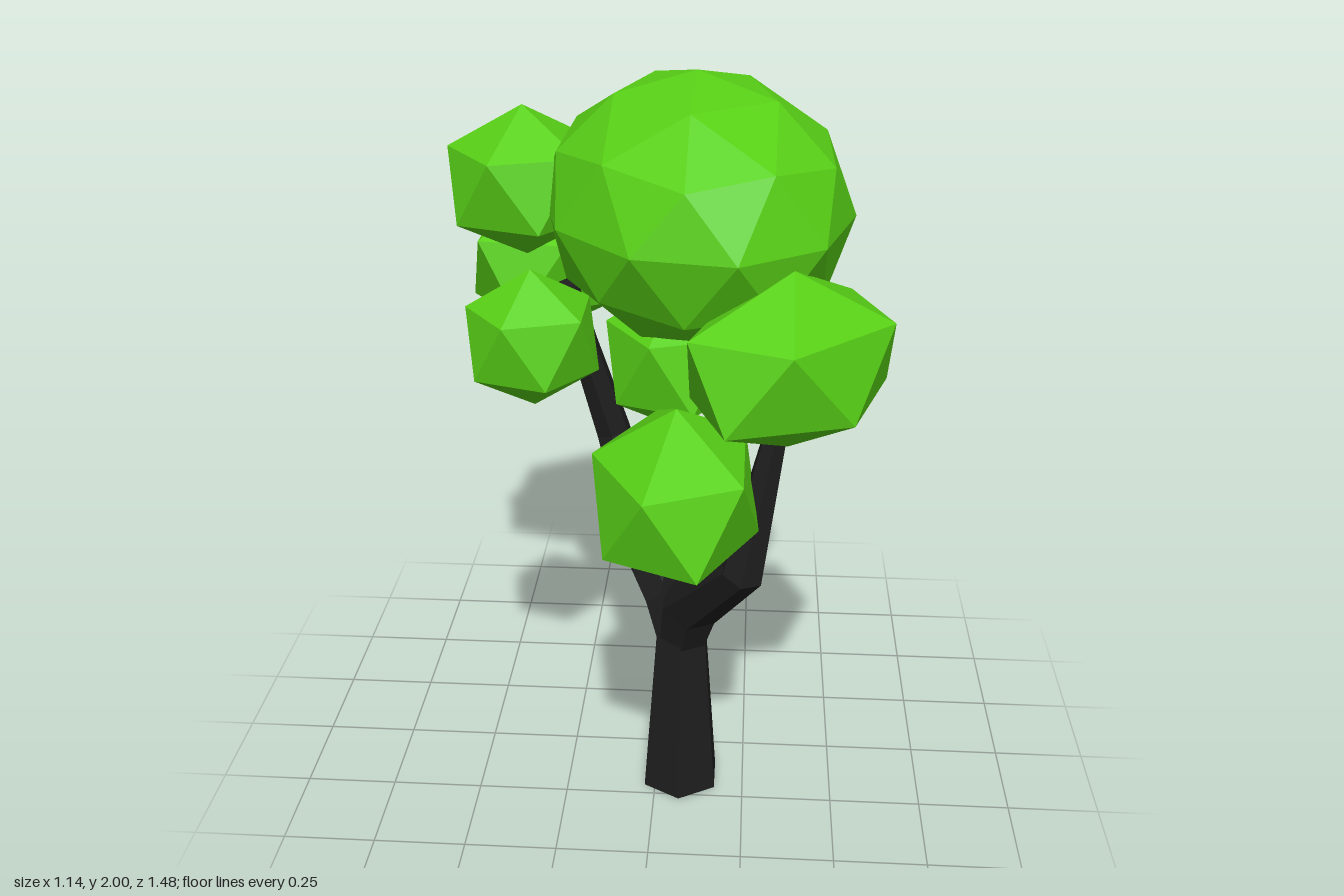
import * as THREE from 'three';

const SIDES = 6;
const bark = new THREE.MeshStandardMaterial({ color: 0x1e1e1e, flatShading: true });
const leaf = new THREE.MeshStandardMaterial({ color: 0x58d016, flatShading: true });

// Six-sided tapering limb through points [x, y, z, radius], capped at both ends.
function limb(name, path) {
  const points = path.map(([x, y, z]) => new THREE.Vector3(x, y, z));
  const up = new THREE.Vector3(0, 1, 0);
  const positions = [];
  const index = [];
  points.forEach((p, i) => {
    const before = points[Math.max(i - 1, 0)];
    const after = points[Math.min(i + 1, points.length - 1)];
    const tangent = new THREE.Vector3();
    if (i > 0) tangent.add(p.clone().sub(before).normalize());
    if (i < points.length - 1) tangent.add(after.clone().sub(p).normalize());
    const turn = new THREE.Quaternion().setFromUnitVectors(up, tangent.normalize());
    for (let s = 0; s < SIDES; s++) {
      const a = (s / SIDES) * Math.PI * 2;
      const v = new THREE.Vector3(Math.sin(a), 0, Math.cos(a)).multiplyScalar(path[i][3]);
      positions.push(...v.applyQuaternion(turn).add(p).toArray());
    }
  });
  const last = (points.length - 1) * SIDES;
  for (let i = 0; i < last; i += SIDES) {
    for (let s = 0; s < SIDES; s++) {
      const a = i + s;
      const b = i + ((s + 1) % SIDES);
      index.push(a, b, b + SIDES, a, b + SIDES, a + SIDES);
    }
  }
  for (let s = 1; s < SIDES - 1; s++) {
    index.push(0, s + 1, s, last, last + s, last + s + 1);
  }
  const geometry = new THREE.BufferGeometry();
  geometry.setAttribute('position', new THREE.Float32BufferAttribute(positions, 3));
  geometry.setIndex(index);
  geometry.computeVertexNormals();
  const mesh = new THREE.Mesh(geometry, bark);
  mesh.name = name;
  return mesh;
}

// Faceted foliage with one corner pointing straight up.
function foliage(name, position, scale, yaw = 0, detail = 0) {
  const geometry = new THREE.IcosahedronGeometry(1, detail);
  geometry.rotateZ(Math.atan2(1, (1 + Math.sqrt(5)) / 2));
  const mesh = new THREE.Mesh(geometry, leaf);
  mesh.name = name;
  mesh.position.set(...position);
  mesh.scale.set(...scale);
  mesh.rotation.y = THREE.MathUtils.degToRad(yaw);
  return mesh;
}

export function createModel() {
  const tree = new THREE.Group();
  tree.name = 'tree';

  // Trunk with its fork, and the two main limbs
  tree.add(
    limb('trunk', [
      [0.07, 0, 0.155, 0.115], [0.07, 0.51, 0.155, 0.075], [0.07, 0.68, 0.155, 0.055],
    ]),
    limb('frontLimb', [
      [0.07, 0.46, 0.155, 0.068], [0.095, 0.6, 0.19, 0.085],
      [0.235, 0.83, 0.4, 0.059], [0.315, 1.27, 0.41, 0.027],
    ]),
    limb('backLimb', [
      [0.07, 0.46, 0.155, 0.068], [0.045, 0.59, 0.118, 0.085],
      [-0.05, 0.69, -0.01, 0.07], [-0.09, 0.82, -0.07, 0.056],
      [-0.135, 0.98, -0.095, 0.05], [-0.21, 1.25, -0.07, 0.04], [-0.255, 1.42, -0.06, 0.036],
    ]),
  );

  // Thin side branches
  tree.add(
    limb('rearBranch', [
      [-0.12, 0.94, -0.08, 0.04], [-0.22, 1.1, -0.37, 0.025], [-0.28, 1.22, -0.43, 0.018],
    ]),
    limb('innerBranch', [
      [-0.06, 0.74, -0.03, 0.038], [-0.02, 0.86, 0.05, 0.03],
      [0.02, 1.0, 0.1, 0.02], [0.04, 1.14, 0.08, 0.016],
    ]),
    limb('forwardTwig', [
      [-0.02, 0.85, 0.04, 0.024], [0.0, 0.9, 0.2, 0.018], [0.03, 0.98, 0.29, 0.014],
    ]),
  );

  // Large crown and the smaller clumps around it
  tree.add(
    foliage('crown', [0.093, 1.665, 0.02], [0.39, 0.335, 0.505], 13, 1),
    foliage('frontLeftClump', [0.335, 1.41, 0.42], [0.23, 0.22, 0.32], -45),
    foliage('frontLowClump', [0.07, 1.085, 0.475], [0.225, 0.22, 0.31], 0),
    foliage('rearRightClump', [-0.345, 1.355, -0.485], [0.235, 0.225, 0.3], -30),
    foliage('upperRightClump', [-0.35, 1.7, -0.05], [0.218, 0.195, 0.23], 0),
    foliage('frontRightClump', [-0.29, 1.405, 0.3], [0.18, 0.175, 0.18], 0),
    foliage('rearLeftClump', [0.195, 1.45, -0.345], [0.165, 0.15, 0.168], 0),
    foliage('innerClump', [0.045, 1.275, 0.065], [0.2, 0.205, 0.225], 0),
  );
  return tree;
}
